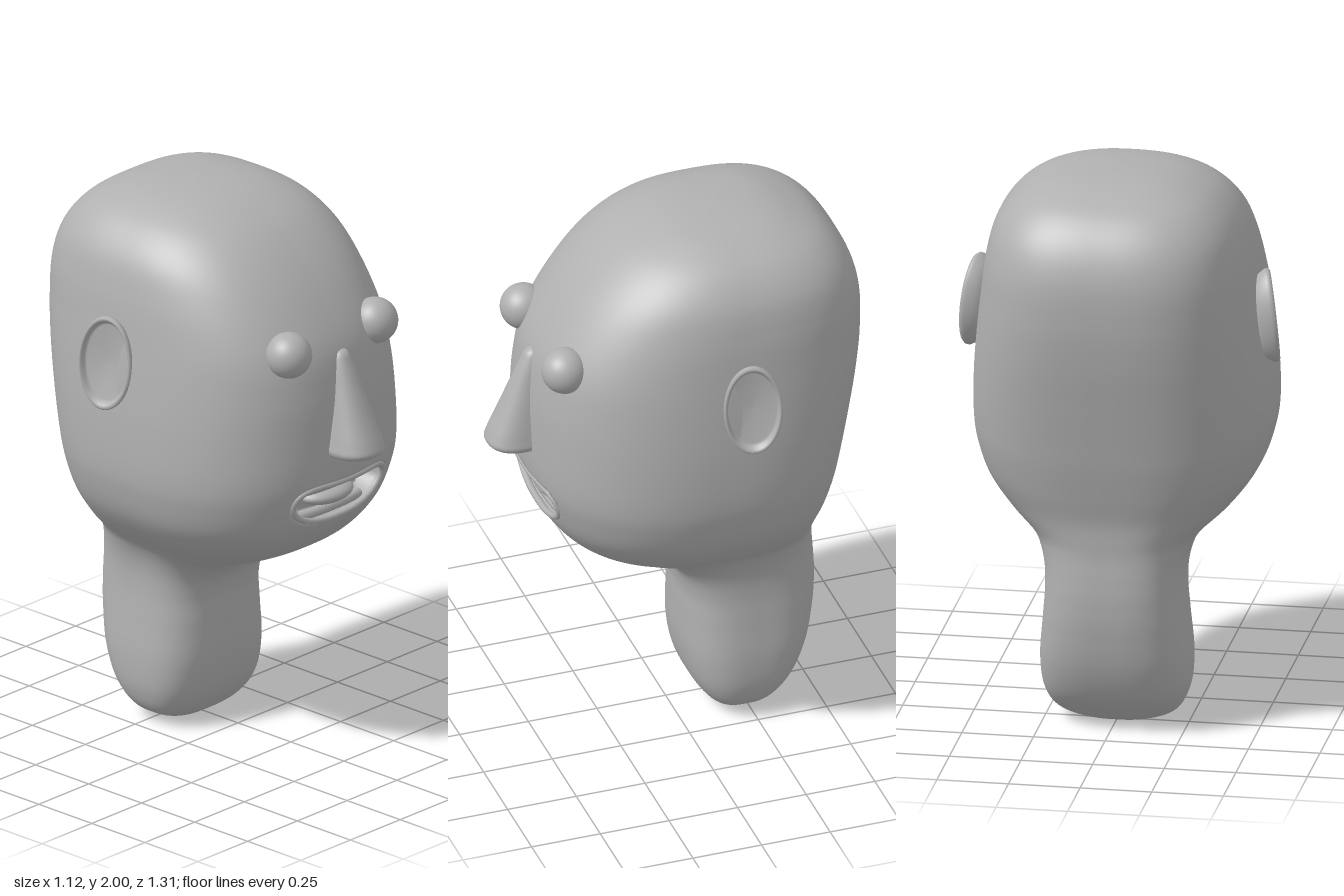
import * as THREE from 'three';

// Cross-sections from neck base to crown: height, half width, front z, back z
const HEAD = [
  [0.005, 0, -0.23, -0.23], [0.012, 0.1, -0.16, -0.29], [0.05, 0.205, -0.11, -0.345], [0.13, 0.25, -0.062, -0.42],
  [0.25, 0.26, -0.037, -0.475], [0.39, 0.248, -0.033, -0.503], [0.5, 0.239, -0.03, -0.51], [0.585, 0.242, 0, -0.506],
  [0.655, 0.262, 0.085, -0.5], [0.71, 0.3, 0.24, -0.5], [0.79, 0.39, 0.376, -0.505], [0.89, 0.465, 0.46, -0.53],
  [1.0, 0.503, 0.503, -0.557], [1.1, 0.515, 0.522, -0.577], [1.25, 0.511, 0.523, -0.607], [1.4, 0.497, 0.515, -0.635],
  [1.55, 0.478, 0.485, -0.652], [1.7, 0.455, 0.4, -0.648], [1.82, 0.418, 0.3, -0.607], [1.91, 0.345, 0.19, -0.53],
  [1.965, 0.245, 0.07, -0.42], [1.99, 0.135, -0.04, -0.32], [2.0, 0, -0.18, -0.18],
];
const NOSE = [
  [1.165, 0, 0.54, 0.54], [1.167, 0.075, 0.62, 0.44], [1.185, 0.096, 0.652, 0.43], [1.22, 0.092, 0.645, 0.43],
  [1.3, 0.077, 0.61, 0.43], [1.4, 0.058, 0.567, 0.43], [1.49, 0.042, 0.528, 0.43], [1.53, 0.027, 0.505, 0.43],
  [1.545, 0, 0.46, 0.46],
];

// Smooth section reader: t in 0..1 -> height, half width, centre z, half depth
function sections(rows) {
  const a = new THREE.SplineCurve(rows.map((r) => new THREE.Vector2(r[0], r[1])));
  const b = new THREE.SplineCurve(rows.map((r) => new THREE.Vector2(r[2], r[3])));
  return (t) => {
    const p = a.getPoint(t), q = b.getPoint(t);
    return { y: p.x, w: Math.max(p.y, 0), c: (q.x + q.y) / 2, d: Math.abs(q.x - q.y) / 2 };
  };
}

const frontPower = (y) => 3 - 0.6 * THREE.MathUtils.smoothstep(y, 0.55, 0.8);

// Closed loft of rounded-square rings, with points gathered toward the front
function loft(section, rows, cols, gather, adjust) {
  const pos = [], index = [];
  for (let i = 0; i <= rows; i++) {
    const s = section(i / rows);
    for (let j = 0; j < cols; j++) {
      const u = (j / cols) * Math.PI * 2, a = u - gather * Math.sin(u);
      const sn = Math.sin(a), cs = Math.cos(a), n = cs > 0 ? frontPower(s.y) : 2.9;
      const r = Math.pow(Math.abs(sn) ** n + Math.abs(cs) ** n, -1 / n);
      const x = s.w * r * sn, z = s.c + s.d * r * cs;
      pos.push(x, s.y, adjust && cs > 0 ? adjust(x, s.y, z) : z);
      if (i < rows) {
        const k = (j + 1) % cols, p = i * cols;
        index.push(p + j, p + k, p + cols + k, p + j, p + cols + k, p + cols + j);
      }
    }
  }
  const g = new THREE.BufferGeometry();
  g.setAttribute('position', new THREE.Float32BufferAttribute(pos, 3));
  g.setIndex(index);
  g.computeVertexNormals();
  return g;
}

// Mouth outline: upper and lower edge heights at x
const MOUTH_W = 0.222, MOUTH_Y = 1.01;
const upperEdge = (x) => {
  const u = Math.min(Math.abs(x) / MOUTH_W, 1);
  return MOUTH_Y + (0.05 + 0.018 * u * u) * Math.sqrt(1 - u ** 4);
};
const lowerEdge = (x) => {
  const u = Math.min(Math.abs(x) / MOUTH_W, 1);
  return MOUTH_Y - 0.098 * Math.sqrt(1 - u ** 2.4);
};

export function createModel() {
  const model = new THREE.Group();
  const clay = new THREE.MeshStandardMaterial({ color: 0xb0b0b0 });
  clay.name = 'grey clay';
  const add = (name, geometry) => {
    const mesh = new THREE.Mesh(geometry, clay);
    mesh.name = name;
    model.add(mesh);
    return mesh;
  };

  const head = sections(HEAD);
  // z of the face surface at (x, y)
  const faceZ = (x, y) => {
    let lo = 0.2, hi = 0.95;
    for (let i = 0; i < 30; i++) {
      const m = (lo + hi) / 2;
      if (head(m).y < y) lo = m; else hi = m;
    }
    const s = head(lo), n = frontPower(y);
    return s.c + s.d * Math.pow(1 - Math.min(Math.abs(x) / s.w, 1) ** n, 1 / n);
  };

  // Head and neck, with the mouth pressed in
  add('headAndNeck', loft(head, 220, 180, 0.5, (x, y, z) => {
    if (Math.abs(x) >= MOUTH_W) return z;
    const edge = Math.min(upperEdge(x) - y, y - lowerEdge(x));
    return z - 0.09 * THREE.MathUtils.smoothstep(edge, -0.004, 0.014);
  }));

  // Lips
  const lipPoints = [];
  for (let i = 0; i < 48; i++) {
    const a = (i / 48) * Math.PI * 2, x = MOUTH_W * Math.cos(a);
    const y = Math.sin(a) >= 0 ? upperEdge(x) : lowerEdge(x);
    lipPoints.push(new THREE.Vector3(x, y, faceZ(x, y) - 0.006));
  }
  add('lips', new THREE.TubeGeometry(new THREE.CatmullRomCurve3(lipPoints, true), 120, 0.012, 10, true));

  // Gum strips inside the mouth, following the curve of the face
  for (const [name, y, half, r] of [['upperGum', 1.045, 0.19, 0.02], ['lowerGum', 0.94, 0.15, 0.018]]) {
    const pts = [];
    for (let i = -6; i <= 6; i++) {
      const x = (half * i) / 6;
      pts.push(new THREE.Vector3(x, y, faceZ(x, y) - 0.045));
    }
    add(name, new THREE.TubeGeometry(new THREE.CatmullRomCurve3(pts), 40, r, 10));
  }

  // Tongue
  const tongue = add('tongue', new THREE.SphereGeometry(1, 32, 20));
  tongue.scale.set(0.115, 0.037, 0.08);
  tongue.position.set(0.012, 0.982, 0.4);

  add('nose', loft(sections(NOSE), 60, 48, 0));

  // Dished ear, lathed around its outward axis
  const earProfile = [[0, -0.06], [0.7, -0.055], [0.9, -0.025], [1, 0], [1, 0.01], [0.96, 0.018], [0.9, 0.014],
    [0.85, 0], [0.8, -0.01], [0, -0.016]].map(([r, h]) => new THREE.Vector2(r, h));
  const earGeometry = new THREE.LatheGeometry(earProfile, 64).rotateX(Math.PI / 2).scale(0.102, 0.168, 1);
  earGeometry.computeVertexNormals();

  for (const [side, sx] of [['left', 1], ['right', -1]]) {
    const eye = add(side + 'Eye', new THREE.SphereGeometry(0.081, 40, 28));
    eye.position.set(sx * 0.216, 1.566, 0.443);
    const ear = add(side + 'Ear', earGeometry);
    ear.position.set(sx * 0.512, 1.462, -0.14);
    ear.lookAt(sx * 1.512, 1.57, 0.12);
  }
  return model;
}
